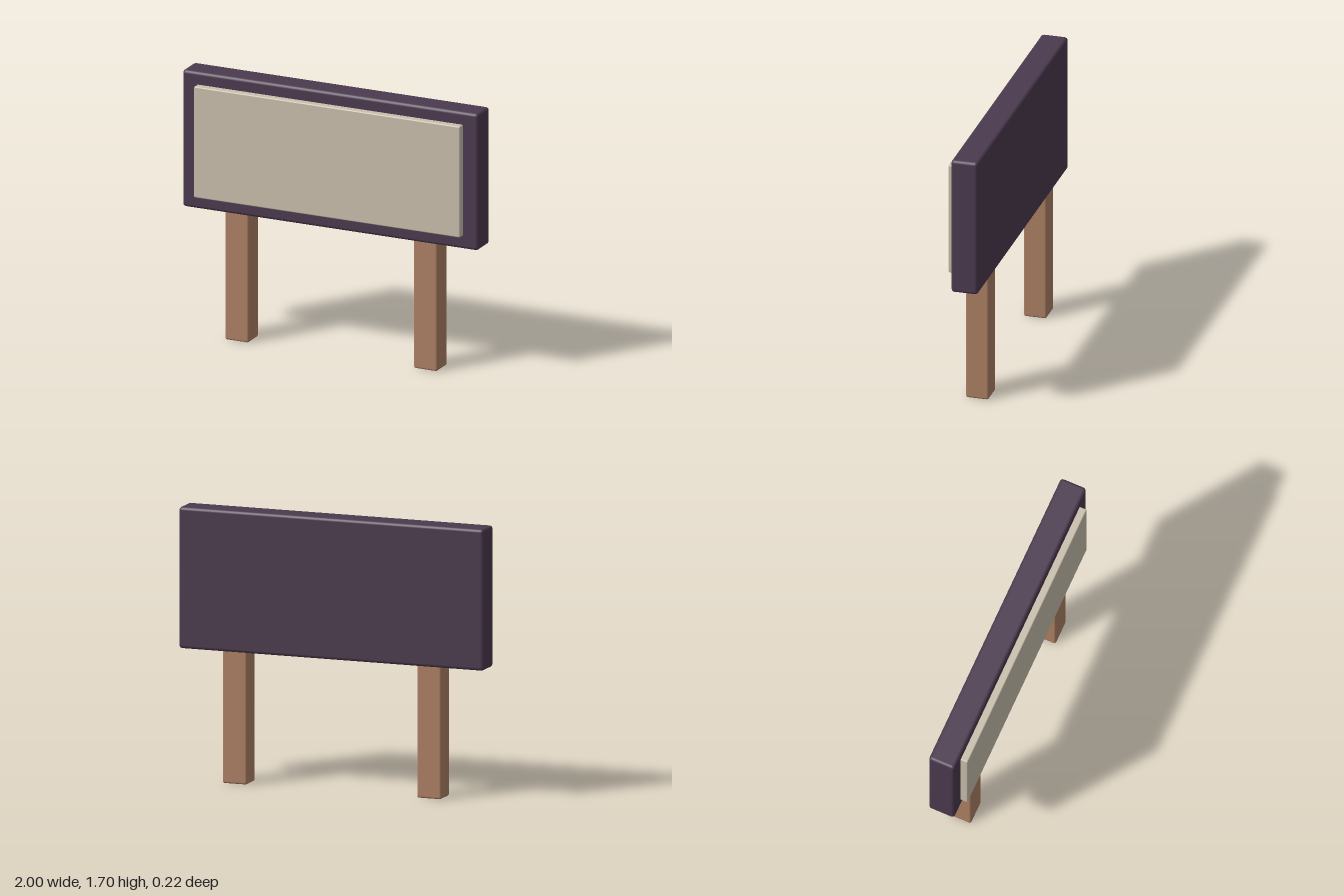
import * as THREE from 'three';
import { RoundedBoxGeometry } from 'three/addons/geometries/RoundedBoxGeometry.js';

const material = (name, color) => {
  const m = new THREE.MeshStandardMaterial({ color });
  m.name = name;
  return m;
};

export function createModel() {
  const group = new THREE.Group();
  group.name = 'signboard';
  const darkFrame = material('dark plum', 0x4b3a4e);
  const cream = material('cream', 0xc9bfad);
  const wood = material('brown wood', 0xad8064);

  // Softly bevelled box given by its minimum and maximum corners
  const block = (name, mat, [x0, y0, z0], [x1, y1, z1], bevel) => {
    const geometry = new RoundedBoxGeometry(x1 - x0, y1 - y0, z1 - z0, 2, bevel);
    const mesh = new THREE.Mesh(geometry, mat);
    mesh.name = name;
    mesh.position.set((x0 + x1) / 2, (y0 + y1) / 2, (z0 + z1) / 2);
    group.add(mesh);
    return mesh;
  };

  // Board and the raised face panel on its front
  block('board', darkFrame, [-1, 0.82, -0.108], [1, 1.7, 0.062], 0.02);
  block('facePanel', cream, [-0.9, 0.905, 0.03], [0.9, 1.62, 0.108], 0.008);

  // Two square posts, set slightly into the board
  for (const [name, x] of [['leftPost', 0.638], ['rightPost', -0.638]]) {
    block(name, wood, [x - 0.079, 0, -0.095], [x + 0.079, 0.86, 0.049], 0.012);
  }
  return group;
}
